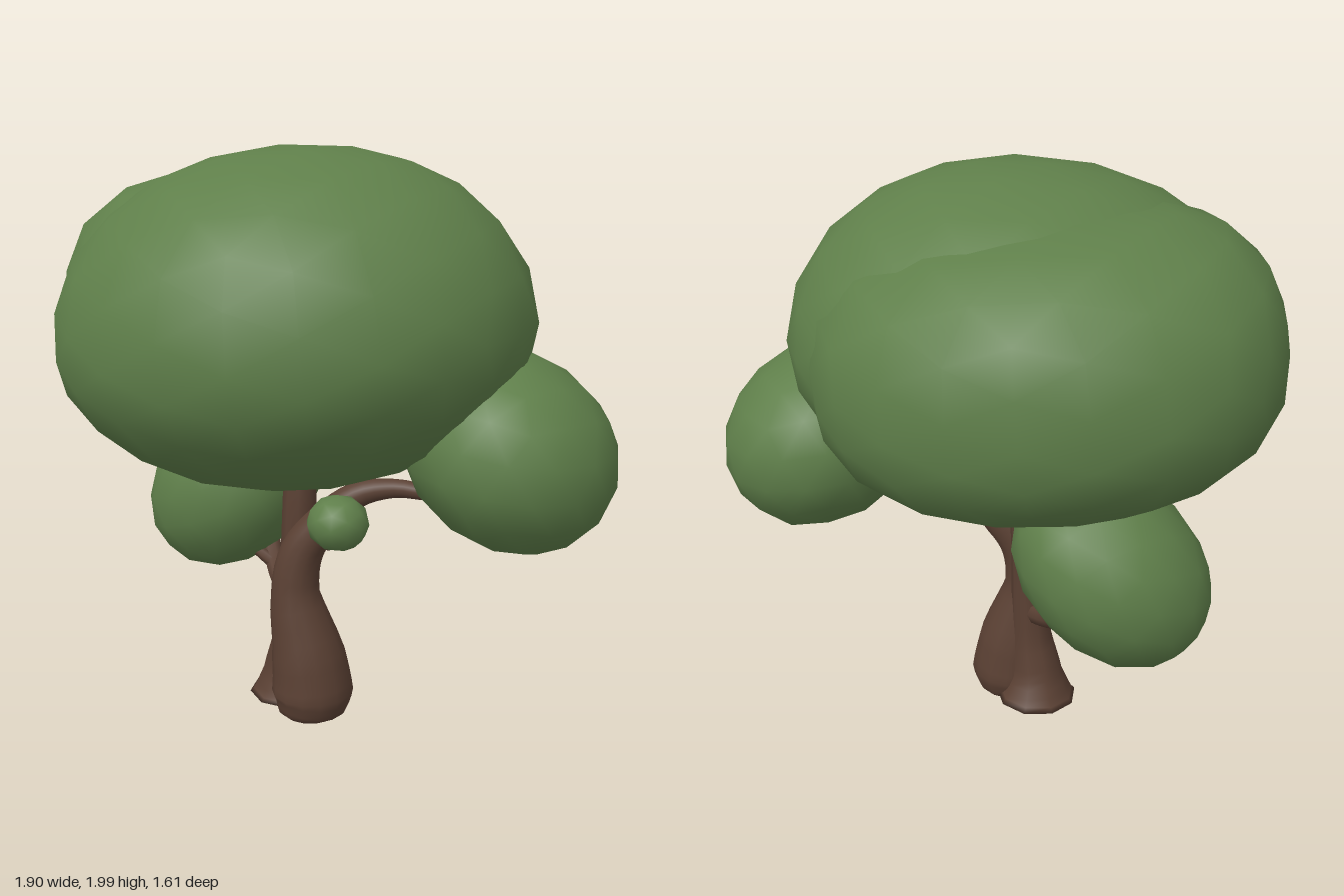
import * as THREE from 'three';
import { mergeVertices } from 'three/addons/utils/BufferGeometryUtils.js';

const leafGreen = new THREE.MeshStandardMaterial({ color: 0x5f7f4a });
leafGreen.name = 'leaf green';
const barkBrown = new THREE.MeshStandardMaterial({ color: 0x5a4033 });
barkBrown.name = 'bark brown';

// Weld shared corners and give smooth normals
function smooth(geometry) {
  geometry.deleteAttribute('uv');
  geometry.deleteAttribute('normal');
  const welded = mergeVertices(geometry, 1e-4);
  welded.computeVertexNormals();
  return welded;
}

// Rounded leaf mass: radii are [x, up, z, down]; powers above 2 make the plan,
// the upper half or the lower half fuller
function foliage(name, center, [rx, up, rz, down = up], { detail = 2, plan = 2, power = 2, lowPower = power, tilt = 0 } = {}) {
  const geometry = new THREE.IcosahedronGeometry(1, detail);
  const pos = geometry.attributes.position;
  const v = new THREE.Vector3();
  for (let i = 0; i < pos.count; i++) {
    v.fromBufferAttribute(pos, i);
    const p = v.y > 0 ? power : lowPower;
    const flat = (Math.abs(v.x) ** plan + Math.abs(v.z) ** plan) ** (1 / plan);
    v.divideScalar((flat ** p + Math.abs(v.y) ** p) ** (1 / p));
    pos.setXYZ(i, v.x * rx, v.y * (v.y > 0 ? up : down), v.z * rz);
  }
  geometry.rotateZ(tilt);
  geometry.translate(...center);
  const mesh = new THREE.Mesh(smooth(geometry), leafGreen);
  mesh.name = name;
  return mesh;
}

// Tapered limb: each stop is [x, y, z, radius]
function limb(name, stops, sides = 10) {
  const curve = new THREE.CatmullRomCurve3(stops.map(s => new THREE.Vector3(s[0], s[1], s[2])));
  curve.getUtoTmapping = u => u;
  const rings = (stops.length - 1) * 4;
  const geometry = new THREE.TubeGeometry(curve, rings, 1, sides);
  const pos = geometry.attributes.position;
  const v = new THREE.Vector3();
  for (let i = 0; i <= rings; i++) {
    const t = i / 4;
    const k = Math.min(Math.floor(t), stops.length - 2);
    const radius = THREE.MathUtils.lerp(stops[k][3], stops[k + 1][3], t - k);
    const c = curve.getPoint(i / rings);
    for (let j = 0; j <= sides; j++) {
      const n = i * (sides + 1) + j;
      v.fromBufferAttribute(pos, n).sub(c).multiplyScalar(radius).add(c);
      pos.setXYZ(n, v.x, v.y, v.z);
    }
  }
  const mesh = new THREE.Mesh(smooth(geometry), barkBrown);
  mesh.name = name;
  return mesh;
}

export function createModel() {
  const tree = new THREE.Group();
  tree.name = 'tree';

  // Crown of two broad, nearly coinciding masses
  const crown = new THREE.Group();
  crown.name = 'crown';
  crown.add(
    foliage('mainCrown', [-0.12, 1.39, 0.05], [0.8, 0.61, 0.75, 0.51],
      { detail: 3, power: 2.1, lowPower: 1.95, tilt: 0.08 }),
    foliage('backCrown', [-0.2, 1.4, -0.12], [0.75, 0.5, 0.69, 0.43],
      { detail: 3, plan: 2.2, power: 2.8, lowPower: 2.3, tilt: -0.1 }),
  );
  tree.add(crown);

  // Separate leaf clumps on the branches
  tree.add(
    foliage('leftClump', [0.6, 1.04, 0.07], [0.37, 0.31, 0.4], { power: 2.1, tilt: -0.6 }),
    foliage('lowClump', [-0.44, 0.765, -0.27], [0.37, 0.28, 0.3], { power: 2.1, tilt: 0.8 }),
    foliage('smallClump', [0.07, 0.805, 0.25], [0.105, 0.095, 0.1], { detail: 1 }),
  );

  // Front trunk bends into the branch that carries the left clump
  tree.add(limb('frontTrunk', [
    [-0.07, 0.005, 0.07, 0],
    [-0.07, 0.012, 0.07, 0.08],
    [-0.07, 0.04, 0.07, 0.122],
    [-0.065, 0.11, 0.07, 0.145],
    [-0.08, 0.25, 0.07, 0.13],
    [-0.125, 0.48, 0.07, 0.085],
    [-0.1, 0.63, 0.065, 0.075],
    [-0.02, 0.74, 0.06, 0.065],
    [0.09, 0.84, 0.05, 0.045],
    [0.22, 0.87, 0.04, 0.032],
    [0.36, 0.865, 0.05, 0.025],
    [0.5, 0.9, 0.06, 0.018],
  ], 14));

  // Rear trunk with a flared, closed foot
  tree.add(limb('rearTrunk', [
    [-0.172, 0.05, -0.02, 0],
    [-0.172, 0.055, -0.02, 0.146],
    [-0.17, 0.15, -0.015, 0.095],
    [-0.15, 0.3, -0.005, 0.072],
    [-0.135, 0.55, 0.0, 0.062],
    [-0.125, 0.8, 0.0, 0.06],
    [-0.12, 1.05, -0.02, 0.055],
  ], 9));

  // Branch toward the low clump, with a fork
  tree.add(
    limb('sideBranch', [
      [-0.15, 0.41, -0.01, 0.047],
      [-0.22, 0.44, -0.1, 0.04],
      [-0.27, 0.49, -0.18, 0.037],
      [-0.31, 0.575, -0.255, 0.032],
      [-0.315, 0.59, -0.27, 0],
    ], 8),
    limb('sideTwig', [
      [-0.26, 0.48, -0.16, 0.025],
      [-0.31, 0.51, -0.17, 0.022],
      [-0.38, 0.55, -0.19, 0.016],
    ], 7),
  );

  // Twig under the small clump
  tree.add(limb('smallTwig', [
    [0.0, 0.72, 0.08, 0.03],
    [0.02, 0.7, 0.15, 0.02],
    [0.03, 0.71, 0.21, 0.017],
    [0.06, 0.77, 0.25, 0.014],
  ], 7));

  return tree;
}
